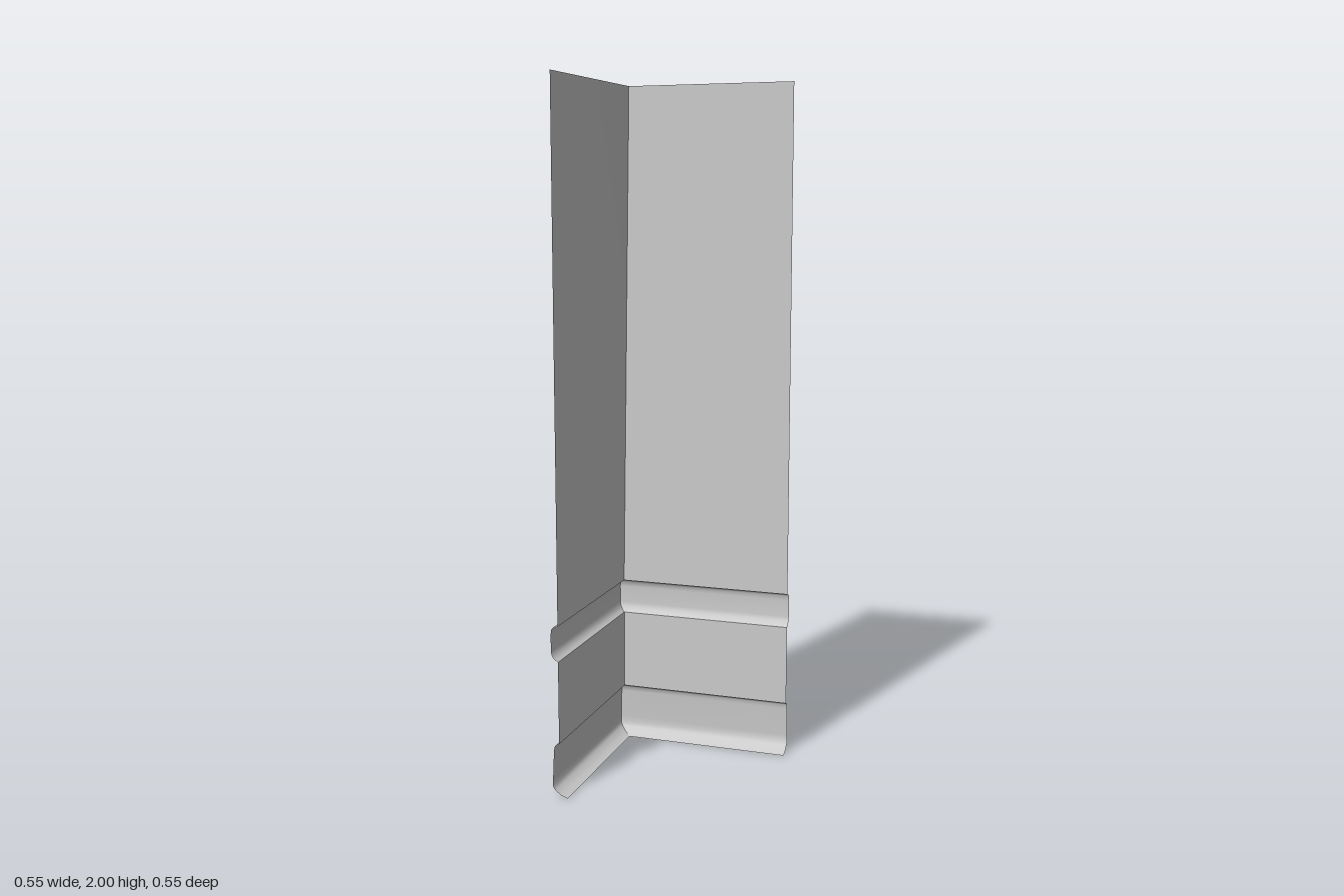
import * as THREE from 'three';

const WALL = -0.252; // plane of both walls
const END = 0.272;   // free ends of both walls

// Profiles run from top to bottom: [outward offset, height, lean of the corner in x]
const sections = {
  upperWall: [[0, 2, 0.024], [0, 0.5]],
  railMoulding: [[0, 0.5], [0.013, 0.497], [0.019, 0.489], [0.021, 0.475],
    [0.021, 0.425], [0.018, 0.413], [0.01, 0.403], [0, 0.397]],
  lowerWall: [[0, 0.397], [0, 0.158]],
  baseMoulding: [[0, 0.158], [0.009, 0.155], [0.014, 0.148], [0.016, 0.135],
    [0.02, 0.05], [0.02, 0.03], [0.013, 0.019], [-0.004, 0.007], [-0.024, 0]],
};

// One wall's strip of a profile, from the mitred corner to the free end
function strip(profile, isLeft) {
  const pos = [], index = [];
  profile.forEach(([out, y, lean = 0], i) => {
    const w = WALL - out;
    pos.push(w + lean, y, w);
    if (isLeft) pos.push(w, y, END);
    else pos.push(END, y, w);
    if (i === 0) return;
    const a = 2 * i - 2, b = a + 1, c = a + 2, d = a + 3;
    if (isLeft) index.push(a, c, b, b, c, d);
    else index.push(a, b, c, b, d, c);
  });
  const g = new THREE.BufferGeometry();
  g.setAttribute('position', new THREE.Float32BufferAttribute(pos, 3));
  g.setIndex(index);
  g.computeVertexNormals();
  return g;
}

export function createModel() {
  const model = new THREE.Group();
  model.name = 'wallCorner';
  const material = new THREE.MeshStandardMaterial({ color: 0xcccccc, side: THREE.DoubleSide });

  // Thin sheet walls meeting in an L, each with a rail and a base moulding
  for (const side of ['back', 'left']) {
    const wall = new THREE.Group();
    wall.name = side + 'Wall';
    for (const [name, profile] of Object.entries(sections)) {
      const mesh = new THREE.Mesh(strip(profile, side === 'left'), material);
      mesh.name = name;
      wall.add(mesh);
    }
    model.add(wall);
  }
  return model;
}
